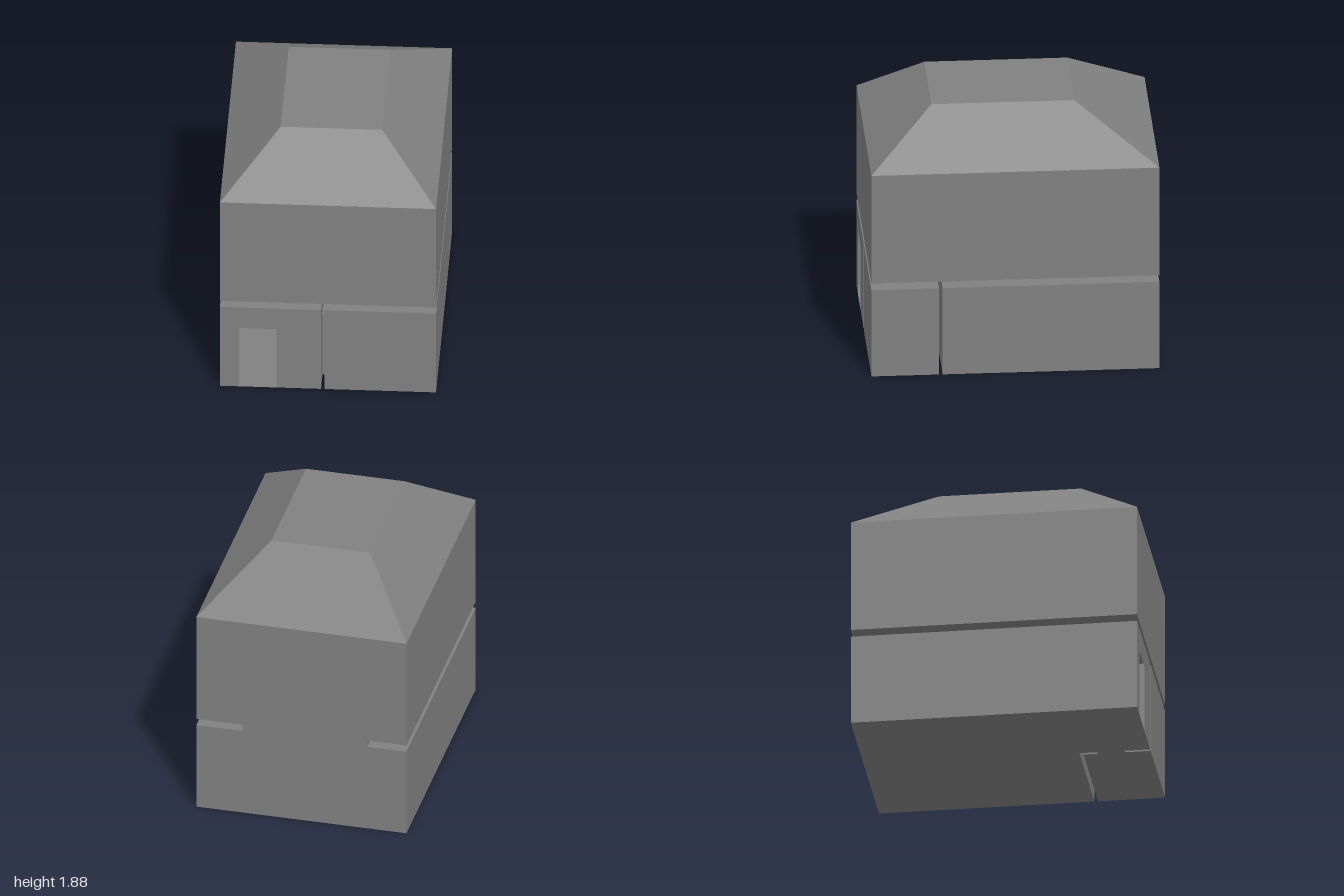
import * as THREE from 'three';

const sheet = new THREE.MeshStandardMaterial({ color: 0x808080, side: THREE.DoubleSide });
const trimMaterial = new THREE.MeshStandardMaterial({ color: 0x807530 });

function add(parent, name, geometry, material = sheet) {
  const mesh = new THREE.Mesh(geometry, material);
  mesh.name = name;
  parent.add(mesh);
  return mesh;
}

// Thin upright wall from a to b ([x, z]), facing outward;
// opening = [start, end, height] cuts a doorway from its foot
function wall(parent, name, a, b, y0, y1, opening) {
  const dx = b[0] - a[0], dz = b[1] - a[1], length = Math.hypot(dx, dz);
  const points = [[0, y0]];
  if (opening) {
    const [u0, u1, h] = opening;
    points.push([u0, y0], [u0, h], [u1, h], [u1, y0]);
  }
  points.push([length, y0], [length, y1], [0, y1]);
  const geometry = new THREE.ShapeGeometry(new THREE.Shape(points.map(p => new THREE.Vector2(...p))));
  geometry.rotateY(Math.atan2(-dz, dx));
  geometry.translate(a[0], 0, a[1]);
  add(parent, name, geometry);
}

// Thin level sheet over an outline of [x, z] points
function slab(parent, name, outline, y, up) {
  const s = up ? -1 : 1;
  const shape = new THREE.Shape(outline.map(([x, z]) => new THREE.Vector2(x, s * z)));
  const geometry = new THREE.ShapeGeometry(shape);
  geometry.rotateX(s * Math.PI / 2);
  geometry.translate(0, y, 0);
  add(parent, name, geometry);
}

// All walls around an outline; openings are keyed by wall number
function walls(parent, name, outline, y0, y1, openings = {}) {
  outline.forEach((a, i) => wall(parent, name, a, outline[(i + 1) % outline.length], y0, y1, openings[i]));
}

export function createModel() {
  const model = new THREE.Group();
  const part = name => {
    const group = new THREE.Group();
    group.name = name;
    model.add(group);
    return group;
  };
  const LOW = 0.658, UP = 0.709, EAVES = 1.53, TOP = 1.88;
  // Narrow gap between the two ground-floor rooms
  const GX0 = -0.048, GX1 = -0.023, GZ0 = 0.506, GZ1 = 0.531;
  // Doorway across the gap, along z
  const DZ0 = 0.63, DZ1 = 0.82, DOOR = 0.5;

  // Stairwell notch in the rear edge, shared by both storeys
  const notch = [[0.42, -1], [0.42, -0.62], [-0.47, -0.62], [-0.47, -1]];

  // L-shaped main ground-floor room with the entrance and an inner doorway
  const main = part('mainRoom');
  const front = [[-0.75, 1], [GX0, 1], [GX0, GZ0], [0.75, GZ0], [0.75, -1]];
  const mainOutline = [...front, [-0.75, -1]];
  walls(main, 'mainRoomWall', mainOutline, 0, LOW, { 0: [0.132, 0.393, 0.487], 1: [1 - DZ1, 1 - DZ0, DOOR] });
  slab(main, 'mainRoomFloor', mainOutline, 0, false);
  slab(main, 'mainRoomCeiling', [...front, ...notch, [-0.75, -1]], LOW, true);

  // Small front corner room
  const corner = part('cornerRoom');
  const cornerOutline = [[GX1, 1], [0.75, 1], [0.75, GZ1], [GX1, GZ1]];
  walls(corner, 'cornerRoomWall', cornerOutline, 0, LOW, { 3: [DZ0 - GZ1, DZ1 - GZ1, DOOR] });
  slab(corner, 'cornerRoomFloor', cornerOutline, 0, false);
  slab(corner, 'cornerRoomCeiling', cornerOutline, LOW, true);

  // Short passage joining the two rooms
  const passage = part('passage');
  const passageOutline = [[GX0, DZ1], [GX1, DZ1], [GX1, DZ0], [GX0, DZ0]];
  wall(passage, 'passageWall', passageOutline[0], passageOutline[1], 0, DOOR);
  wall(passage, 'passageWall', passageOutline[2], passageOutline[3], 0, DOOR);
  slab(passage, 'passageFloor', passageOutline, 0, false);
  slab(passage, 'passageCeiling', passageOutline, DOOR, true);

  // Stairwell linking the storeys
  const well = part('stairwell');
  walls(well, 'stairwellWall', [[-0.47, -0.62], [0.42, -0.62], [0.42, -1], [-0.47, -1]], LOW, UP);

  // Upper storey
  const upper = part('upperStorey');
  const rect = [[-0.75, 1], [0.75, 1], [0.75, -1]];
  walls(upper, 'upperWall', [...rect, [-0.75, -1]], UP, EAVES);
  slab(upper, 'upperFloor', [...rect, ...notch, [-0.75, -1]], UP, false);

  // Hipped roof with a flat top set towards the front
  const roof = new THREE.BoxGeometry(1.5, TOP - EAVES, 2);
  const p = roof.attributes.position;
  for (let i = 0; i < p.count; i++) {
    if (p.getY(i) > 0) {
      p.setX(i, Math.sign(p.getX(i)) * 0.352);
      p.setZ(i, p.getZ(i) > 0 ? 0.557 : -0.436);
    }
  }
  roof.computeVertexNormals();
  roof.translate(0, (TOP + EAVES) / 2, 0);
  add(model, 'roof', roof);

  // Low step inside the main room, with thin trim on its top and left end
  const step = part('innerStep');
  add(step, 'step', new THREE.BoxGeometry(0.4, 0.05, 0.3)).position.set(-0.255, 0.025, -0.75);
  add(step, 'stepTopTrim', new THREE.BoxGeometry(0.405, 0.005, 0.3), trimMaterial).position.set(-0.2575, 0.0525, -0.75);
  add(step, 'stepEndTrim', new THREE.BoxGeometry(0.005, 0.05, 0.3), trimMaterial).position.set(-0.4575, 0.025, -0.75);

  return model;
}
